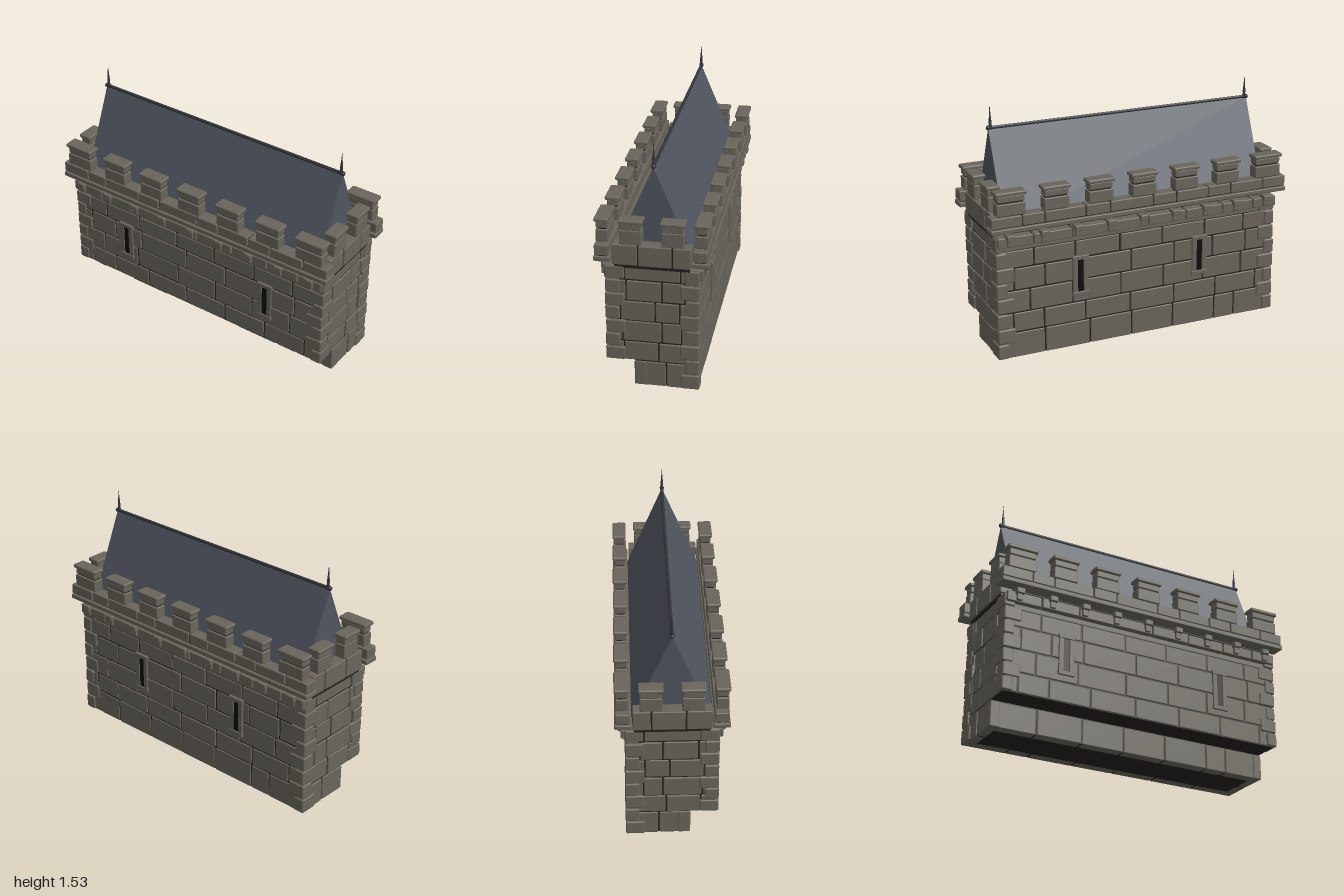
import * as THREE from 'three';
import { RoundedBoxGeometry } from 'three/addons/geometries/RoundedBoxGeometry.js';

const mat = (name, color) => {
  const m = new THREE.MeshStandardMaterial({ color });
  m.name = name;
  return m;
};

export function createModel() {
  const root = new THREE.Group();
  root.name = 'castleWall';
  const stone = mat('stone', 0x69655b);
  const mortar = mat('mortar', 0x23211e);
  const slate = mat('slate', 0x50555f);
  const iron = mat('iron', 0x33353a);
  const dark = mat('slitBlack', 0x0c0c0c);

  // Small seeded jitter for stone faces
  let seed = 7;
  const jitter = (a) => {
    seed = (seed * 16807) % 2147483647;
    return (seed / 2147483647 - 0.5) * 2 * a;
  };

  const group = (name, parent = root) => {
    const g = new THREE.Group();
    g.name = name;
    parent.add(g);
    return g;
  };
  // Chamfered block from its min and max corners
  const block = (parent, name, x0, x1, y0, y1, z0, z1, r = 0.006) => {
    const m = new THREE.Mesh(new RoundedBoxGeometry(x1 - x0, y1 - y0, z1 - z0, 1, r), stone);
    m.position.set((x0 + x1) / 2, (y0 + y1) / 2, (z0 + z1) / 2);
    m.name = name;
    parent.add(m);
  };
  // Sharp box from its min and max corners
  const box = (parent, name, material, x0, x1, y0, y1, z0, z1) => {
    const m = new THREE.Mesh(new THREE.BoxGeometry(x1 - x0, y1 - y0, z1 - z0), material);
    m.position.set((x0 + x1) / 2, (y0 + y1) / 2, (z0 + z1) / 2);
    m.name = name;
    parent.add(m);
  };

  // Mortar cores; the lowest course is set back at the front
  const core = group('mortarCore');
  box(core, 'upperCore', mortar, -0.938, 0.938, 0.165, 0.788, -0.262, 0.262);
  box(core, 'baseCore', mortar, -0.938, 0.938, 0.002, 0.165, -0.262, 0.1);

  // Long wall courses: bottom, top, joint positions
  const courses = [
    [0, 0.163, [-0.95, -0.645, -0.345, -0.06, 0.23, 0.53, 0.675, 0.95]],
    [0.163, 0.292, [-0.94, -0.85, -0.65, -0.375, -0.07, 0.235, 0.535, 0.83, 0.94]],
    [0.292, 0.437, [-0.94, -0.74, -0.46, -0.135, 0.16, 0.44, 0.72, 0.94]],
    [0.437, 0.58, [-0.94, -0.84, -0.64, -0.425, -0.065, 0.235, 0.51, 0.75, 0.94]],
    [0.58, 0.695, [-0.94, -0.71, -0.44, -0.14, 0.15, 0.45, 0.73, 0.94]],
  ];
  const g = 0.004; // half of a mortar joint
  for (const s of [1, -1]) {
    const wall = group(s > 0 ? 'frontWall' : 'backWall');
    if (s < 0) wall.rotation.y = Math.PI;
    courses.forEach(([y0, y1, xs], row) => {
      const face = row === 0 && s > 0 ? 0.108 : 0.269;
      for (let i = 0; i < xs.length - 1; i++)
        block(wall, 'wallStone', xs[i] + g, xs[i + 1] - g, y0 + (row ? g : 0), y1 - g, face - 0.07, face + jitter(0.003));
    });
    // String course
    block(wall, 'plainBand', -0.94, 0.94, 0.693, 0.727, 0.2, 0.266);
    const joints = [-0.95, -0.72, -0.47, -0.23, 0.04, 0.3, 0.56, 0.78, 0.95];
    for (let i = 0; i < joints.length - 1; i++)
      block(wall, 'stringStone', joints[i] + 0.003, joints[i + 1] - 0.003, 0.728, 0.792, 0.23, 0.297 + jitter(0.003));
    // Corbels
    for (let i = -4; i <= 4; i++) {
      const x = i * 0.218;
      block(wall, 'corbelTop', x - 0.026, x + 0.026, 0.775, 0.81, 0.265, 0.328);
      block(wall, 'corbelFoot', x - 0.019, x + 0.019, 0.735, 0.778, 0.265, 0.312);
    }
    // Arrow slits with stone frames
    for (const x of s > 0 ? [-0.543, 0.537] : [-0.41, 0.41]) {
      const win = group('arrowSlit', wall);
      box(win, 'slitOpening', dark, x - 0.024, x + 0.024, 0.35, 0.58, 0.268, 0.275);
      for (const d of [-1, 1])
        block(win, 'slitJamb', x + d * 0.035 - 0.016, x + d * 0.035 + 0.016, 0.36, 0.572, 0.25, 0.281, 0.004);
      block(win, 'slitLintel', x - 0.054, x + 0.054, 0.57, 0.597, 0.25, 0.284, 0.004);
      block(win, 'slitSill', x - 0.054, x + 0.054, 0.334, 0.362, 0.25, 0.284, 0.004);
    }

    // Floating parapet: ledge, course and merlons
    const parapet = group('parapet', wall);
    block(parapet, 'ledge', -0.998, 0.998, 0.83, 0.86, 0.235, 0.333);
    box(parapet, 'parapetCore', mortar, -0.985, 0.985, 0.85, 0.925, 0.255, 0.315);
    const px = [-0.997, -0.8, -0.655, -0.39, -0.23, 0.06, 0.22, 0.44, 0.6, 0.83, 0.997];
    for (let i = 0; i < px.length - 1; i++)
      block(parapet, 'parapetStone', px[i] + 0.003, px[i + 1] - 0.003, 0.865, 0.932, 0.243, 0.327 + jitter(0.003));
    for (let i = -3; i <= 3; i++) {
      const x = i * 0.289, h = Math.abs(i) === 3 ? 0.09 : 0.08;
      const merlon = group('merlon', parapet);
      box(merlon, 'merlonCore', mortar, x - h + 0.012, x + h - 0.012, 0.92, 1.07, 0.262, 0.312);
      block(merlon, 'merlonBody', x - h, x + h, 0.936, 1.012, 0.252, 0.324);
      block(merlon, 'merlonNeck', x - h + 0.004, x + h - 0.004, 1.02, 1.06, 0.252, 0.322);
      block(merlon, 'merlonCap', x - h - 0.009, x + h + 0.009, 1.06, 1.085, 0.245, 0.333, 0.009);
    }
  }

  // End wall courses: bottom, top, joint positions seen from the outside
  const ends = [
    [0, 0.163, [-0.265, -0.08, 0.115]],
    [0.163, 0.292, [-0.262, -0.035, 0.17, 0.262]],
    [0.292, 0.43, [-0.262, -0.17, -0.055, 0.18, 0.262]],
    [0.43, 0.562, [-0.262, -0.16, -0.015, 0.19, 0.262]],
    [0.562, 0.697, [-0.262, -0.19, -0.055, 0.155, 0.262]],
    [0.697, 0.796, [-0.262, -0.165, 0.165, 0.262]],
    [0.796, 0.932, [-0.232, -0.12, 0.08, 0.235]],
  ];
  for (const s of [1, -1]) {
    const end = group(s > 0 ? 'leftEndWall' : 'rightEndWall');
    // Mirrored block helper for this end
    const put = (name, x0, x1, y0, y1, z0, z1, r) =>
      block(end, name, s > 0 ? x0 : -x1, s > 0 ? x1 : -x0, y0, y1, z0, z1, r);
    ends.forEach(([y0, y1, zs], row) => {
      const face = row === 6 ? 0.966 : 0.946;
      for (let i = 0; i < zs.length - 1; i++)
        put('endStone', 0.885, face + jitter(0.003), y0 + (row ? g : 0), y1 - g, zs[i] + g, zs[i + 1] - g);
    });
    box(end, 'endCore', mortar, s * 0.925 - 0.03, s * 0.925 + 0.03, 0.78, 0.925, -0.22, 0.22);
    // End merlons
    for (const d of [-1, 1]) {
      const z = d * 0.122;
      put('endMerlonBody', 0.892, 0.962, 0.93, 1.02, z - 0.065, z + 0.065);
      put('endMerlonNeck', 0.892, 0.962, 1.02, 1.062, z - 0.062, z + 0.062);
      put('endMerlonCap', 0.884, 0.972, 1.06, 1.085, z - 0.073, z + 0.073, 0.009);
    }
    // Alternating corner quoins; the front pair starts above the set-back base
    for (const d of [1, -1]) {
      const step = d > 0 ? 0.0895 : 0.0985, y = d > 0 ? 0.165 : 0;
      const count = d > 0 ? 7 : 8;
      for (let i = 0; i < count; i++) {
        const long = i % 2 === 0;
        const lx = long ? 0.07 : 0.115, lz = long ? 0.115 : 0.085;
        const zo = 0.278 + jitter(0.002);
        put('quoin', 0.955 - lx, 0.955 + jitter(0.003), y + i * step + 0.003, y + (i + 1) * step - 0.003,
          d > 0 ? zo - lz : -zo, d > 0 ? zo : -zo + lz, 0.009);
      }
    }
  }

  // Steep gabled roof
  const roof = group('roof');
  const gable = new THREE.Shape([
    new THREE.Vector2(-0.235, 0.83), new THREE.Vector2(0.235, 0.83), new THREE.Vector2(0, 1.385),
  ]);
  const prism = new THREE.ExtrudeGeometry(gable, { depth: 1.76, bevelEnabled: false });
  prism.translate(0, 0, -0.88).rotateY(Math.PI / 2);
  const slopes = new THREE.Mesh(prism, slate);
  slopes.name = 'roofSlopes';
  roof.add(slopes);
  const ridge = new THREE.Mesh(new THREE.CylinderGeometry(0.01, 0.01, 1.77, 8), iron);
  ridge.rotation.z = Math.PI / 2;
  ridge.position.y = 1.388;
  ridge.name = 'ridgeBar';
  roof.add(ridge);

  // Finial spikes at both ridge ends
  const profile = [[0, 1.375], [0.012, 1.38], [0.013, 1.395], [0.008, 1.41], [0.009, 1.425], [0.004, 1.48], [0, 1.535]]
    .map(([r, y]) => new THREE.Vector2(r, y));
  for (const s of [1, -1]) {
    const finial = new THREE.Mesh(new THREE.LatheGeometry(profile, 8), iron);
    finial.position.x = s * 0.866;
    finial.name = 'finial';
    roof.add(finial);
    const knob = new THREE.Mesh(new THREE.SphereGeometry(0.014, 8, 6), iron);
    knob.position.set(s * 0.88, 1.388, 0);
    knob.name = 'ridgeKnob';
    roof.add(knob);
  }
  return root;
}
